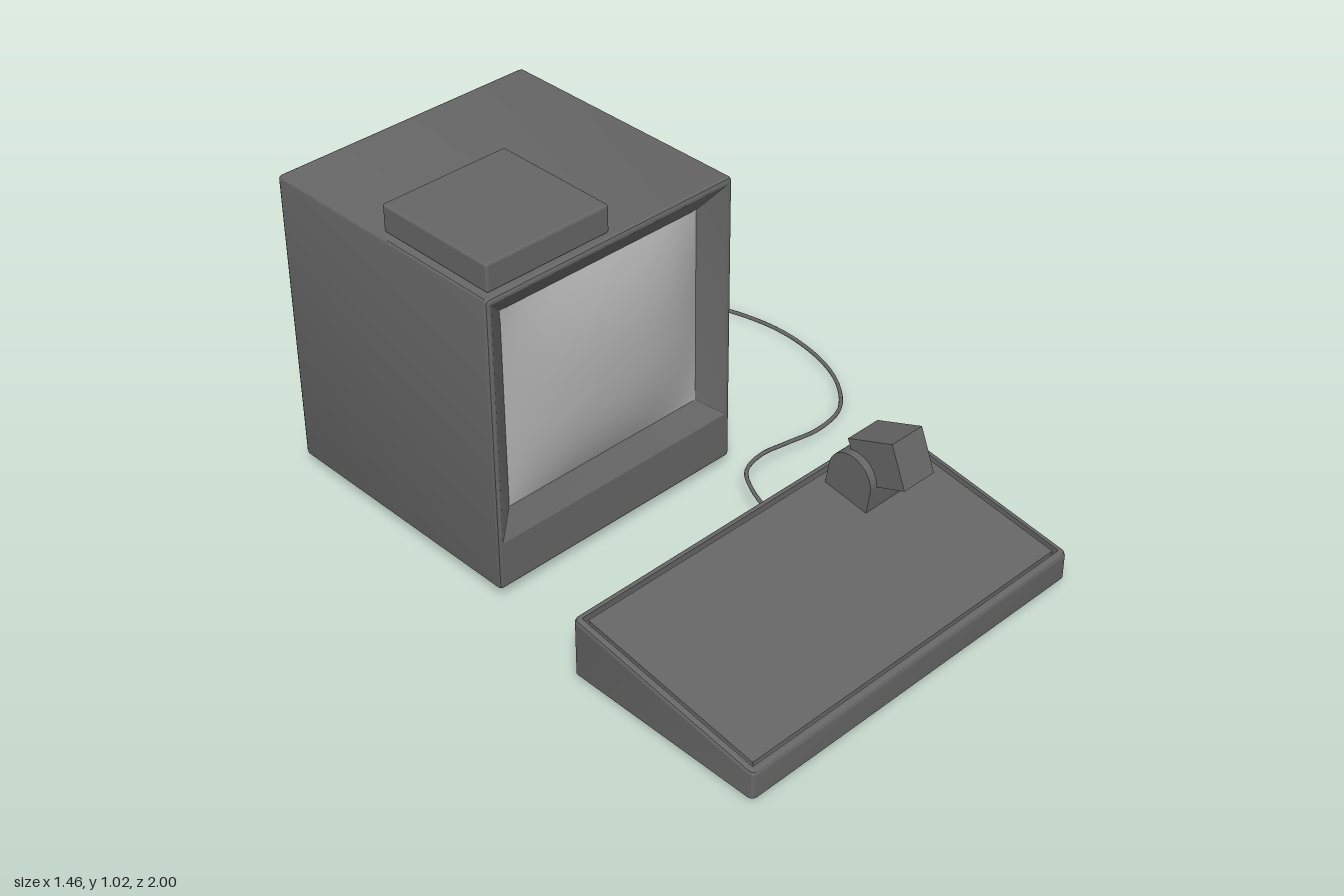
import * as THREE from 'three';
import { toCreasedNormals } from 'three/addons/utils/BufferGeometryUtils.js';
import { RoundedBoxGeometry } from 'three/addons/geometries/RoundedBoxGeometry.js';

const darkGrey = new THREE.MeshStandardMaterial({ color: 0x666666 });
const glassGrey = new THREE.MeshStandardMaterial({ color: 0xb0b0b0 });

function addMesh(parent, name, geometry, material = darkGrey) {
  const mesh = new THREE.Mesh(geometry, material);
  mesh.name = name;
  parent.add(mesh);
  return mesh;
}

// Rounded rectangle outline, counter-clockwise, at a given depth
function ringPoints([x0, x1, y0, y1, z, r]) {
  const corners = [[x1 - r, y1 - r], [x0 + r, y1 - r], [x0 + r, y0 + r], [x1 - r, y0 + r]];
  const points = [];
  corners.forEach(([cx, cy], q) => {
    for (let i = 0; i <= 3; i++) {
      const a = (q + i / 3) * Math.PI / 2;
      points.push([cx + r * Math.cos(a), cy + r * Math.sin(a), z]);
    }
  });
  return points;
}

// Capped skin through a series of rounded rectangles [x0, x1, y0, y1, z, radius]
function loft(rings) {
  const loops = rings.map(ringPoints);
  const n = loops[0].length;
  const index = [];
  for (let k = 0; k < loops.length - 1; k++) {
    for (let i = 0; i < n; i++) {
      const a = k * n + i, b = k * n + (i + 1) % n;
      index.push(a, b, b + n, a, b + n, a + n);
    }
  }
  const last = (loops.length - 1) * n;
  for (let i = 1; i < n - 1; i++) {
    index.push(0, i + 1, i, last, last + i, last + i + 1);
  }
  const geometry = new THREE.BufferGeometry();
  geometry.setAttribute('position', new THREE.Float32BufferAttribute(loops.flat(2), 3));
  geometry.setIndex(index);
  return geometry;
}

function buildMonitor() {
  const monitor = new THREE.Group();
  monitor.name = 'monitor';
  const outer = (inset, z, r) => [-0.68 + inset, 0.156 - inset, 0.037 + inset, 0.935 - inset, z, r];

  // Casing with a funnel-shaped bezel sunk into the front
  addMesh(monitor, 'monitorCasing', toCreasedNormals(loft([
    outer(0.01, -0.788, 0.006),
    outer(0.003, -0.785, 0.009),
    outer(0, -0.778, 0.01),
    outer(0, 0.027, 0.01),
    outer(0.003, 0.034, 0.009),
    outer(0.01, 0.037, 0.006),
    [-0.665, 0.14, 0.185, 0.918, 0.037, 0.0005],
    [-0.6, 0.07, 0.245, 0.85, -0.01, 0.0005],
    [-0.6, 0.07, 0.245, 0.85, -0.012, 0.0005],
  ]), 0.3));

  // Bulging glass
  const w = 0.67, h = 0.605;
  const glass = new THREE.PlaneGeometry(w, h, 24, 24);
  const p = glass.attributes.position;
  const fall = t => 1 - Math.abs(t) ** 2.4;
  for (let i = 0; i < p.count; i++) {
    p.setZ(i, 0.06 * fall(2 * p.getX(i) / w) * fall(2 * p.getY(i) / h));
  }
  glass.computeVertexNormals();
  addMesh(monitor, 'screen', glass, glassGrey).position.set(-0.265, 0.5475, -0.01);

  // Flat box resting on the casing
  addMesh(monitor, 'topBox', new RoundedBoxGeometry(0.4, 0.083, 0.395, 2, 0.008))
    .position.set(-0.454, 0.974, -0.185);
  return monitor;
}

const deckY = z => 0.094 + (1 - z) * 0.152;

function buildKeyboard() {
  const keyboard = new THREE.Group();
  keyboard.name = 'keyboard';

  // Wedge: heights above 0.5 are measured from the sloping deck (1 = deck level)
  const level = (inset, height, r) => [-0.733 + inset, 0.439 - inset, -0.998 + inset, -0.375 - inset, height, r];
  const wedge = loft([
    level(0.01, 0, 0.008),
    level(0, 0.01, 0.015),
    level(0, 0.988, 0.015),
    level(0.003, 0.996, 0.013),
    level(0.01, 1, 0.008),
    level(0.017, 1, 0.003),
    level(0.017, 0.98, 0.003),
    level(0.028, 0.98, 0.002),
    level(0.028, 0.996, 0.002),
  ]);
  wedge.rotateX(-Math.PI / 2);
  const p = wedge.attributes.position;
  for (let i = 0; i < p.count; i++) {
    if (p.getY(i) > 0.5) p.setY(i, p.getY(i) - 1 + deckY(p.getZ(i)));
  }
  addMesh(keyboard, 'keyboardCase', toCreasedNormals(wedge, 0.3));

  // Round-topped pivot block standing square to the deck
  const arch = new THREE.Shape();
  arch.moveTo(-0.074, -0.12);
  arch.lineTo(0.074, -0.12);
  arch.lineTo(0.074, 0);
  arch.absarc(0, 0, 0.074, 0, Math.PI);
  arch.closePath();
  const archGeometry = new THREE.ExtrudeGeometry(arch, { depth: 0.16, bevelEnabled: false, curveSegments: 14 });
  archGeometry.translate(0, 0, -0.08).rotateY(-Math.PI / 2);
  const pivot = addMesh(keyboard, 'pivotBlock', toCreasedNormals(archGeometry, 0.5));
  pivot.position.set(0.202, 0.236, 0.512);
  pivot.rotation.x = 0.15;

  // Tilted head held by the pivot block
  const head = addMesh(keyboard, 'pivotHead', new THREE.BoxGeometry(0.115, 0.134, 0.162));
  head.position.set(0.203, 0.304, 0.58);
  head.rotation.x = -0.38;
  return keyboard;
}

// Cord from the back of the keyboard, around the floor, to the back of the monitor
function buildCord() {
  const path = [
    [-0.01, 0.08, 0.39], [0.05, 0.08, 0.23], [0.1, 0.077, 0.16], [0.19, 0.068, 0.128],
    [0.3, 0.05, 0.125], [0.42, 0.038, 0.131], [0.54, 0.03, 0.1], [0.64, 0.021, 0],
    [0.7, 0.016, -0.13], [0.725, 0.013, -0.3], [0.705, 0.01, -0.46], [0.64, 0.008, -0.63],
    [0.53, 0.012, -0.785], [0.38, 0.034, -0.915], [0.26, 0.085, -0.977], [0.17, 0.16, -0.994],
    [0.1, 0.27, -0.965], [0.05, 0.39, -0.9], [0.02, 0.505, -0.78],
  ].map(q => new THREE.Vector3(...q));
  return new THREE.TubeGeometry(new THREE.CatmullRomCurve3(path), 120, 0.006, 8);
}

export function createModel() {
  const model = new THREE.Group();
  model.name = 'desktopComputer';
  model.add(buildMonitor(), buildKeyboard());
  addMesh(model, 'cord', buildCord());
  return model;
}
